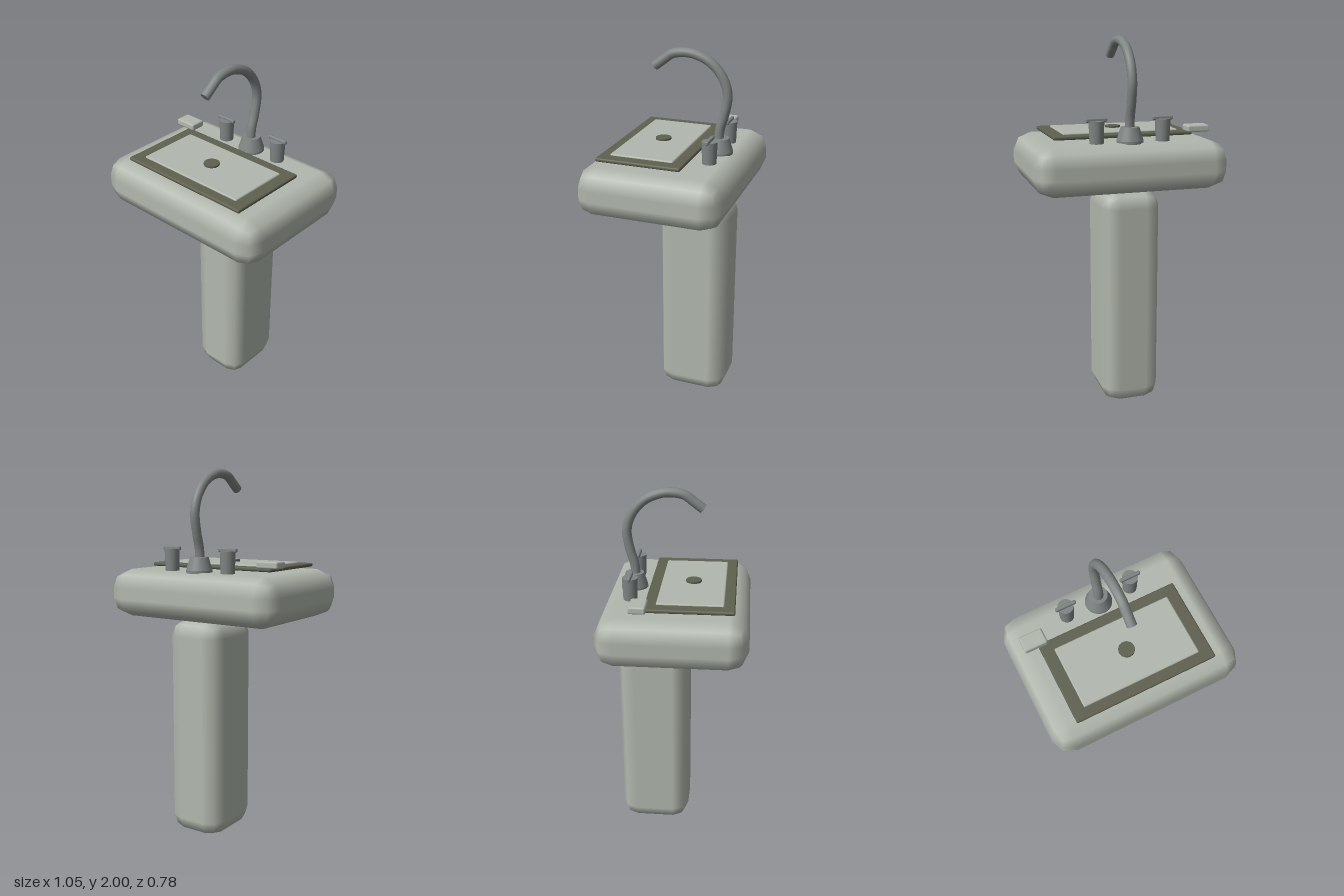
import * as THREE from 'three';
import { RoundedBoxGeometry } from 'three/addons/geometries/RoundedBoxGeometry.js';

const material = (name, color) => {
  const m = new THREE.MeshStandardMaterial({ color });
  m.name = name;
  return m;
};

export function createModel() {
  const group = new THREE.Group();
  const ceramic = material('ceramic', 0xb2b8ae);
  const metal = material('metal', 0x7f8584);
  const olive = material('olive trim', 0x5e604f);

  const add = (name, geometry, mat, x = 0, y = 0, z = 0) => {
    const mesh = new THREE.Mesh(geometry, mat);
    mesh.name = name;
    mesh.position.set(x, y, z);
    group.add(mesh);
    return mesh;
  };
  // Rounded block given by its min and max corners
  const block = (name, mat, [x0, y0, z0], [x1, y1, z1], radius) => add(
    name, new RoundedBoxGeometry(x1 - x0, y1 - y0, z1 - z0, 1, radius), mat,
    (x0 + x1) / 2, (y0 + y1) / 2, (z0 + z1) / 2);

  // Pedestal and basin
  block('pedestal', ceramic, [-0.162, 0, -0.325], [0.162, 1.205, 0.067], 0.09);
  block('basin', ceramic, [-0.527, 1.2, -0.388], [0.527, 1.46, 0.388], 0.1);

  // Bowl: olive rim, inset plate and drain
  block('bowlRim', olive, [-0.387, 1.47, -0.147], [0.387, 1.49, 0.312], 0.008);
  block('bowlFloor', ceramic, [-0.322, 1.475, -0.088], [0.322, 1.498, 0.257], 0.008);
  add('drain', new THREE.CylinderGeometry(0.042, 0.042, 0.02, 24), olive, 0, 1.498, 0.083);

  // Soap bar on the rear right corner
  block('soap', ceramic, [-0.46, 1.492, -0.21], [-0.335, 1.53, -0.123], 0.01);

  // Faucet base
  const back = -0.235;
  add('faucetBase', new THREE.CylinderGeometry(0.049, 0.071, 0.07, 24), metal, 0, 1.505, back);
  add('faucetFoot', new THREE.CylinderGeometry(0.071, 0.071, 0.015, 24), metal, 0, 1.463, back);

  // Gooseneck spout with end caps, points are [y, z]
  const path = new THREE.CatmullRomCurve3([
    [1.52, -0.228], [1.59, -0.235], [1.66, -0.255], [1.77, -0.271], [1.855, -0.245],
    [1.93, -0.18], [1.967, -0.1], [1.975, -0.045], [1.964, 0.03], [1.93, 0.078], [1.893, 0.128],
  ].map(([y, z]) => new THREE.Vector3(0, y, z)));
  add('spout', new THREE.TubeGeometry(path, 40, 0.025, 14), metal);
  const end = path.getPoint(1);
  const cap = add('spoutEnd', new THREE.CircleGeometry(0.025, 14), metal, end.x, end.y, end.z);
  cap.lookAt(end.clone().add(path.getTangent(1)));

  // Tap handles: tapered post with a crossbar
  for (const side of [-1, 1]) {
    const name = side > 0 ? 'left' : 'right';
    add(name + 'TapPost', new THREE.CylinderGeometry(0.041, 0.037, 0.12, 20), metal, side * 0.181, 1.517, back);
    block(name + 'TapBar', metal,
      [side * 0.181 - 0.057, 1.57, back - 0.01], [side * 0.181 + 0.057, 1.592, back + 0.01], 0.007);
  }
  return group;
}
